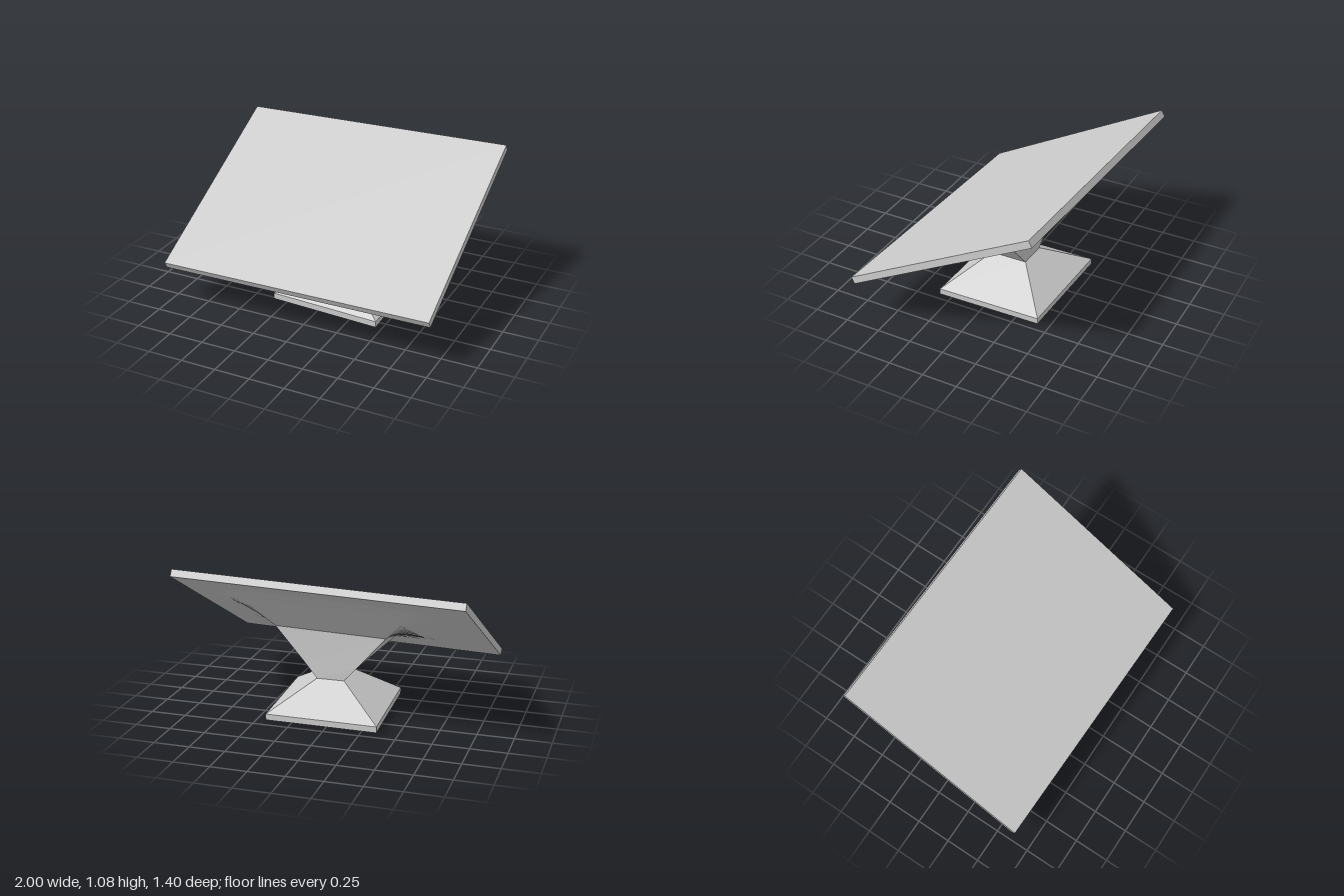
import * as THREE from 'three';

const grey = (flat) => new THREE.MeshStandardMaterial({ color: 0xcccccc, flatShading: flat });

// Skins a stack of equal-length loops (lowest first, counterclockwise from above).
function loft(name, loops, { flat = true, caps = true } = {}) {
  const n = loops[0].length;
  const index = [];
  for (let r = 0; r < loops.length - 1; r++) {
    for (let i = 0; i < n; i++) {
      const a = r * n + i, b = r * n + (i + 1) % n;
      index.push(a, b, b + n, a, b + n, a + n);
    }
  }
  if (caps) {
    const top = (loops.length - 1) * n;
    for (let i = 1; i < n - 1; i++) index.push(0, i + 1, i, top, top + i, top + i + 1);
  }
  let geo = new THREE.BufferGeometry();
  geo.setAttribute('position', new THREE.Float32BufferAttribute(loops.flat(2), 3));
  geo.setIndex(index);
  if (flat) geo = geo.toNonIndexed();
  geo.computeVertexNormals();
  const mesh = new THREE.Mesh(geo, grey(flat));
  mesh.name = name;
  return mesh;
}

const shift = (loop, d) => loop.map((p) => p.map((v, k) => v + d[k]));

// Height of the tilted panel's underside.
const underside = (x, z) => 0.645 + 0.038 * x - 0.54 * z;

// Points around a square from -1 to 1, front left first.
const SIDE = 14;
const square = [];
for (let side = 0; side < 4; side++) {
  for (let i = 0; i < SIDE; i++) {
    const t = (2 * i) / SIDE - 1;
    square.push([[t, 1], [1, -t], [-t, -1], [-1, t]][side]);
  }
}

// Ring stretched between four corners.
const cornerRing = ([fl, fr, br, bl]) => square.map(([s, t]) => {
  const u = (s + 1) / 2, v = (t + 1) / 2;
  return [0, 1, 2].map((k) =>
    v * ((1 - u) * fl[k] + u * fr[k]) + (1 - v) * ((1 - u) * bl[k] + u * br[k]));
});

// Rounded ring hanging below the panel by a depth at its front and back.
const panelRing = (halfX, front, back, depthFront, depthBack, k) => square.map(([s, t]) => {
  const f = 1 / Math.pow(Math.abs(s) ** k + Math.abs(t) ** k, 1 / k);
  const x = 0.05 + s * f * halfX;
  const v = (t * f + 1) / 2;
  const z = back + (front - back) * v + 0.03 * x;
  return [x, underside(x, z) - (depthBack + (depthFront - depthBack) * v), z];
});

export function createModel() {
  const group = new THREE.Group();
  group.name = 'tiltedPanelOnStand';

  // Loops run front left, front right, back right, back left in plan order.
  const panelTop = [[-1, 0.315, 0.648], [0.983, 0.365, 0.697], [0.995, 1.08, -0.625], [-0.986, 1.03, -0.676]];
  const baseBottom = [[-0.335, 0.022, 0.3], [0.462, 0.01, 0.335], [0.437, 0, -0.415], [-0.36, 0.013, -0.45]];
  const baseTop = shift(baseBottom, [0, 0.043, 0]);
  const neckLow = [[-0.045, 0.257, 0.08], [0.15, 0.253, 0.087], [0.145, 0.25, -0.172], [-0.053, 0.254, -0.18]];
  const neckMid = [[-0.135, 0.358, 0.075], [0.24, 0.358, 0.092], [0.235, 0.356, -0.165], [-0.145, 0.356, -0.186]];
  const neckTop = [[-0.35, 0.523, 0.14], [0.45, 0.545, 0.165], [0.45, 0.6, -0.155], [-0.35, 0.59, -0.195]];

  // Panel
  group.add(loft('panel', [shift(panelTop, [0.002, -0.045, -0.024]), panelTop]));

  // Stand: plinth with sloping sides, then the neck that widens upwards
  group.add(loft('base', [baseBottom, baseTop, neckLow]));
  group.add(loft('neck', [neckLow, neckMid, neckTop]));

  // Smooth flare that blends the neck into the underside of the panel
  group.add(loft('flare', [
    cornerRing(neckTop),
    panelRing(0.62, 0.28, -0.41, 0.02, 0.04, 7),
    panelRing(0.7, 0.36, -0.47, 0.01, 0.014, 5),
    panelRing(0.8, 0.45, -0.54, -0.003, -0.003, 4),
  ], { flat: false, caps: false }));

  return group;
}
